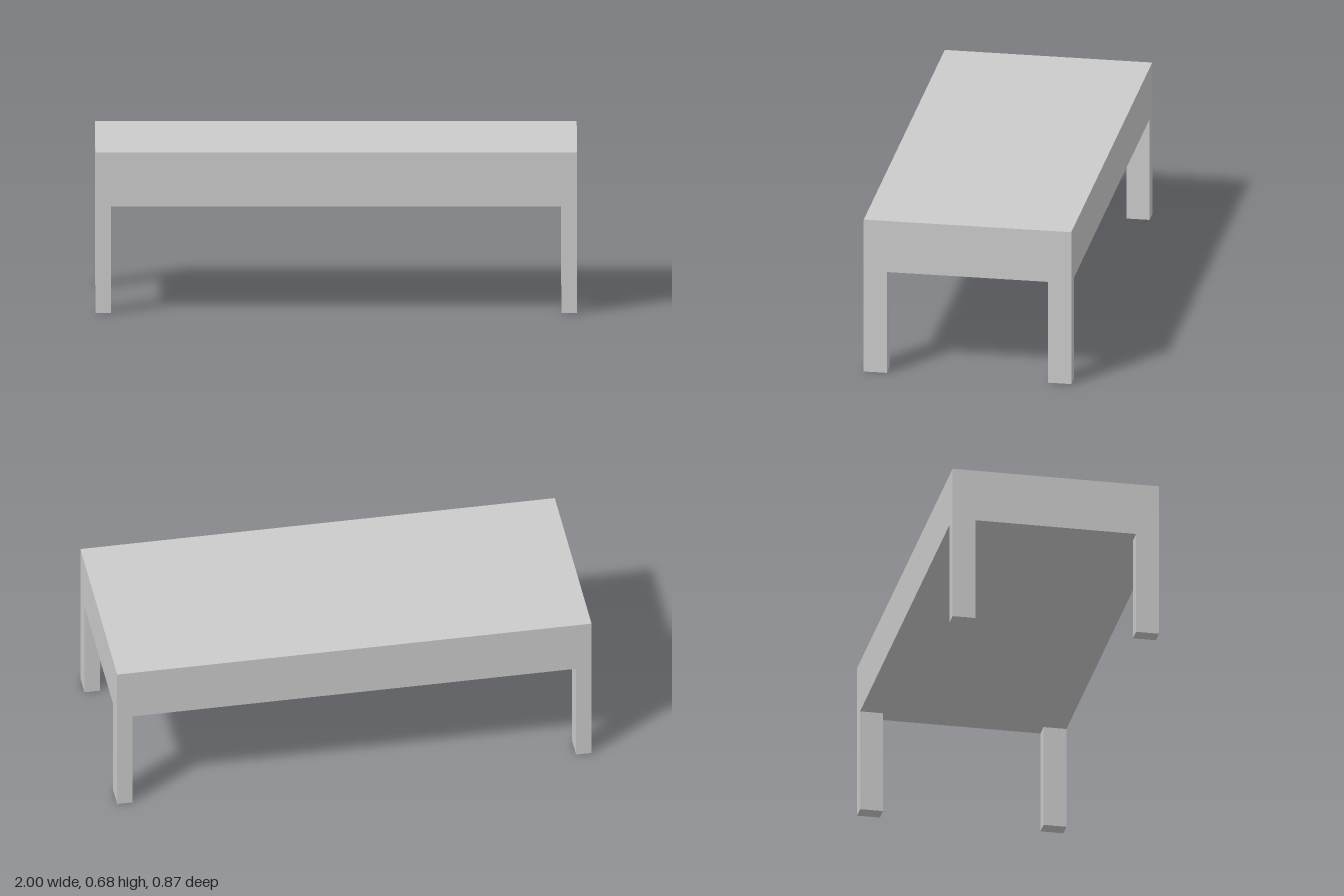
import * as THREE from 'three';

const W = 2, D = 0.874, H = 0.675;    // overall size
const LEG_W = 0.065, LEG_D = 0.097;   // leg section, also the rim width
const LEG_H = 0.448;                  // underside of the table body
const INSET = 0.02;                   // thickness of the top panel

export function createModel() {
  const group = new THREE.Group();
  const frameMaterial = new THREE.MeshStandardMaterial({ color: 0xcccccc });
  const panelMaterial = new THREE.MeshStandardMaterial({ color: 0xebebeb });

  const add = (name, geometry, material, x, y, z) => {
    const mesh = new THREE.Mesh(geometry, material);
    mesh.name = name;
    mesh.position.set(x, y, z);
    group.add(mesh);
    return mesh;
  };
  const innerW = W - 2 * LEG_W, innerD = D - 2 * LEG_D;

  // Solid body below the top panel
  const bodyH = H - INSET - LEG_H;
  add('tableBody', new THREE.BoxGeometry(W, bodyH, D), frameMaterial, 0, LEG_H + bodyH / 2, 0);

  // Rim around the panel
  const rectangle = (shape, w, d) => shape
    .moveTo(-w / 2, -d / 2).lineTo(w / 2, -d / 2)
    .lineTo(w / 2, d / 2).lineTo(-w / 2, d / 2).closePath();
  const rimShape = new THREE.Shape();
  const opening = new THREE.Path();
  rectangle(rimShape, W, D);
  rectangle(opening, innerW, innerD);
  rimShape.holes.push(opening);
  const rim = new THREE.ExtrudeGeometry(rimShape, { depth: INSET, bevelEnabled: false });
  rim.rotateX(-Math.PI / 2);
  add('topRim', rim, frameMaterial, 0, H - INSET, 0);

  // Lighter panel set flush into the rim
  add('topPanel', new THREE.BoxGeometry(innerW, INSET, innerD), panelMaterial, 0, H - INSET / 2, 0);

  // Four corner legs
  const leg = new THREE.BoxGeometry(LEG_W, LEG_H, LEG_D);
  for (const [sz, end] of [[1, 'front'], [-1, 'back']]) {
    for (const [sx, side] of [[1, 'Left'], [-1, 'Right']]) {
      add(`${end}${side}Leg`, leg, frameMaterial,
        sx * (W - LEG_W) / 2, LEG_H / 2, sz * (D - LEG_D) / 2);
    }
  }
  return group;
}
